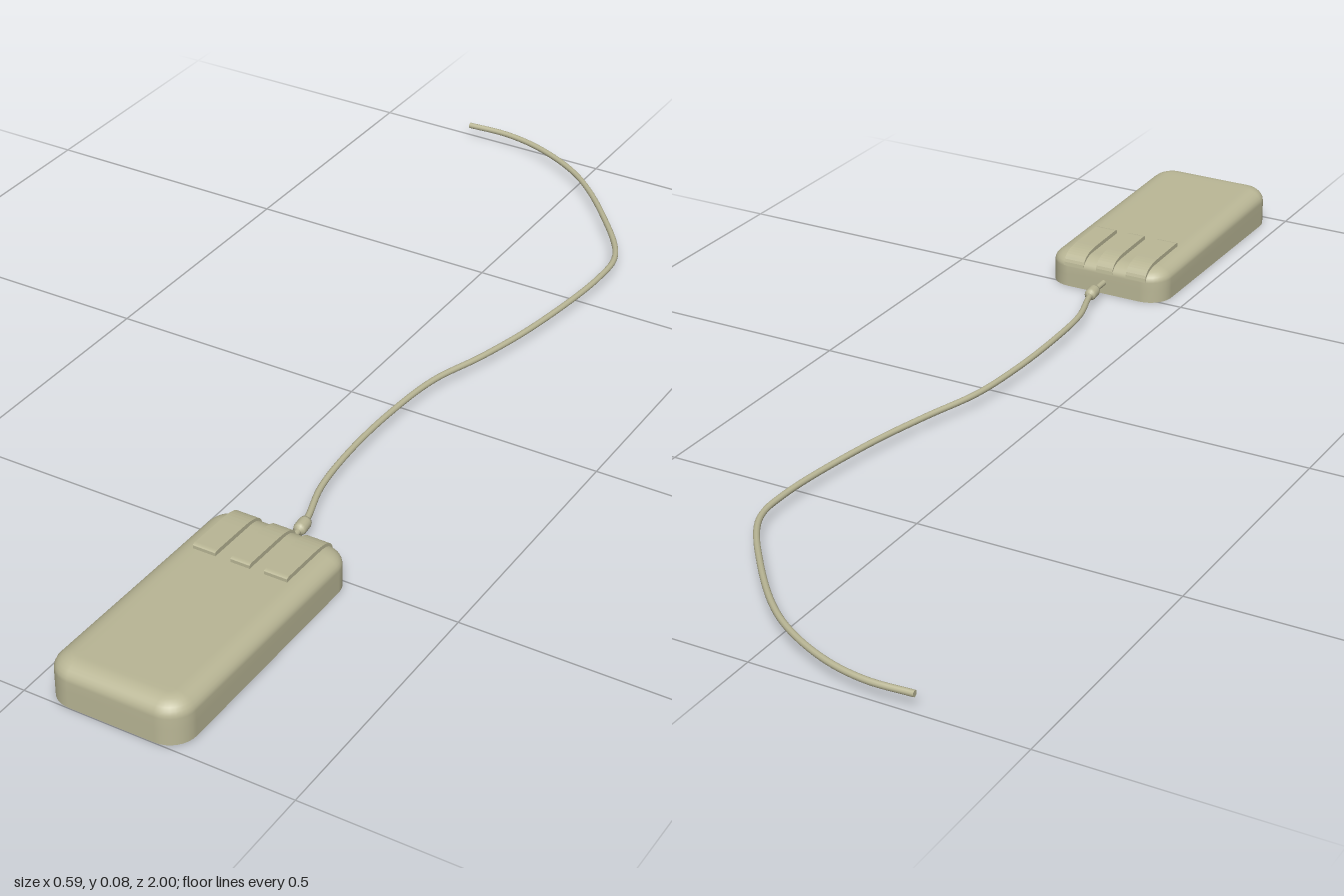
import * as THREE from 'three';

const X = 0.165, Z = 0.742;        // centre of the body
const HW = 0.128, HL = 0.257;      // half width, half length
const CORNER = 0.047, SEG = 8;

// One ring of the body: a rounded rectangle, lower towards the button end
function ring(inset, y) {
  const pts = [], r = Math.max(CORNER - inset, 0.006);
  const cx = HW - inset - r, cz = HL - inset - r;
  [[1, 1], [-1, 1], [-1, -1], [1, -1]].forEach(([sx, sz], q) => {
    for (let i = 0; i <= SEG; i++) {
      const a = (q + i / SEG) * Math.PI / 2;
      const x = X + sx * cx + r * Math.cos(a), z = Z + sz * cz + r * Math.sin(a);
      pts.push([x, y * (1 - 0.34 * (0.965 - z)), z]);
    }
  });
  return pts;
}

function bodyGeometry() {
  // Straight wall, rounded shoulder, then the flat top
  const rings = [ring(0, 0), ring(0, 0.03), ring(0, 0.05)];
  for (let i = 1; i <= 7; i++) {
    const a = i / 7 * Math.PI / 2;
    rings.push(ring(0.036 * (1 - Math.cos(a)), 0.05 + 0.027 * Math.sin(a)));
  }
  rings.push(ring(0.05, 0.077));
  const n = rings[0].length, pos = rings.flat(2), idx = [];
  for (let k = 0; k < rings.length - 1; k++) {
    for (let i = 0; i < n; i++) {
      const a = k * n + i, b = k * n + (i + 1) % n;
      idx.push(a, a + n, b, b, a + n, b + n);
    }
  }
  // Top cap
  const last = (rings.length - 1) * n, top = pos.length / 3;
  pos.push(X, 0.077 * (1 - 0.34 * (0.965 - Z)), Z);
  for (let i = 0; i < n; i++) idx.push(top, last + (i + 1) % n, last + i);
  // Bottom cap on its own vertices, so the lower edge stays sharp
  const base = pos.length / 3;
  pos.push(...rings[0].flat(), X, 0, Z);
  for (let i = 0; i < n; i++) idx.push(base + n, base + i, base + (i + 1) % n);
  const g = new THREE.BufferGeometry();
  g.setAttribute('position', new THREE.Float32BufferAttribute(pos, 3));
  g.setIndex(idx);
  g.computeVertexNormals();
  return g;
}

// Button: side profile (z, y) extruded across its width
function buttonGeometry(width) {
  const s = new THREE.Shape();
  s.moveTo(0.628, 0.05);
  s.lineTo(0.628, 0.074);
  s.quadraticCurveTo(0.627, 0.0765, 0.62, 0.0765);
  s.lineTo(0.545, 0.0745);
  s.bezierCurveTo(0.51, 0.0735, 0.487, 0.068, 0.485, 0.044);
  s.lineTo(0.52, 0.04);
  s.closePath();
  const g = new THREE.ExtrudeGeometry(s, { depth: width, bevelEnabled: false, curveSegments: 10 });
  g.rotateY(-Math.PI / 2);   // profile axis to +z, extrusion to -x
  g.translate(width / 2, 0, 0);
  return g;
}

export function createModel() {
  const model = new THREE.Group();
  const beige = new THREE.MeshStandardMaterial({ color: 0xbab796 });
  beige.name = 'beige plastic';
  const add = (name, geometry) => {
    const m = new THREE.Mesh(geometry, beige);
    m.name = name;
    model.add(m);
    return m;
  };

  add('body', bodyGeometry());

  // Three buttons over the cable end
  [['rightButton', 0.094, 0.044], ['middleButton', 0.164, 0.037], ['leftButton', 0.232, 0.044]]
    .forEach(([name, x, w]) => { add(name, buttonGeometry(w)).position.x = x; });

  // Cable lying in a loose curve
  const path = new THREE.CatmullRomCurve3([
    [0.165, 0.024, 0.5], [0.163, 0.024, 0.45], [0.157, 0.024, 0.41], [0.13, 0.026, 0.32],
    [0.118, 0.029, 0.2], [0.118, 0.029, 0.055], [0.131, 0.028, -0.075], [0.167, 0.026, -0.195],
    [0.2, 0.026, -0.34], [0.225, 0.027, -0.56], [0.215, 0.027, -0.65], [0.125, 0.027, -0.78],
    [0, 0.028, -0.907], [-0.12, 0.028, -0.972], [-0.21, 0.028, -0.993], [-0.296, 0.028, -0.99],
  ].map(p => new THREE.Vector3(...p)));
  add('cable', new THREE.TubeGeometry(path, 120, 0.0058, 10));
  const end = add('cableEnd', new THREE.CircleGeometry(0.0058, 10));
  end.position.copy(path.getPoint(1));
  end.lookAt(end.position.clone().add(path.getTangent(1)));

  // Strain relief: a lathed bead around the cable
  const bead = [[0.005, -0.018], [0.0105, -0.015], [0.012, -0.009], [0.012, 0.009], [0.0105, 0.015], [0.005, 0.018]];
  const relief = add('strainRelief',
    new THREE.LatheGeometry(bead.map(p => new THREE.Vector2(...p)), 16).rotateX(Math.PI / 2));
  relief.position.set(0.161, 0.0245, 0.431);
  relief.rotation.y = 0.12;

  return model;
}
